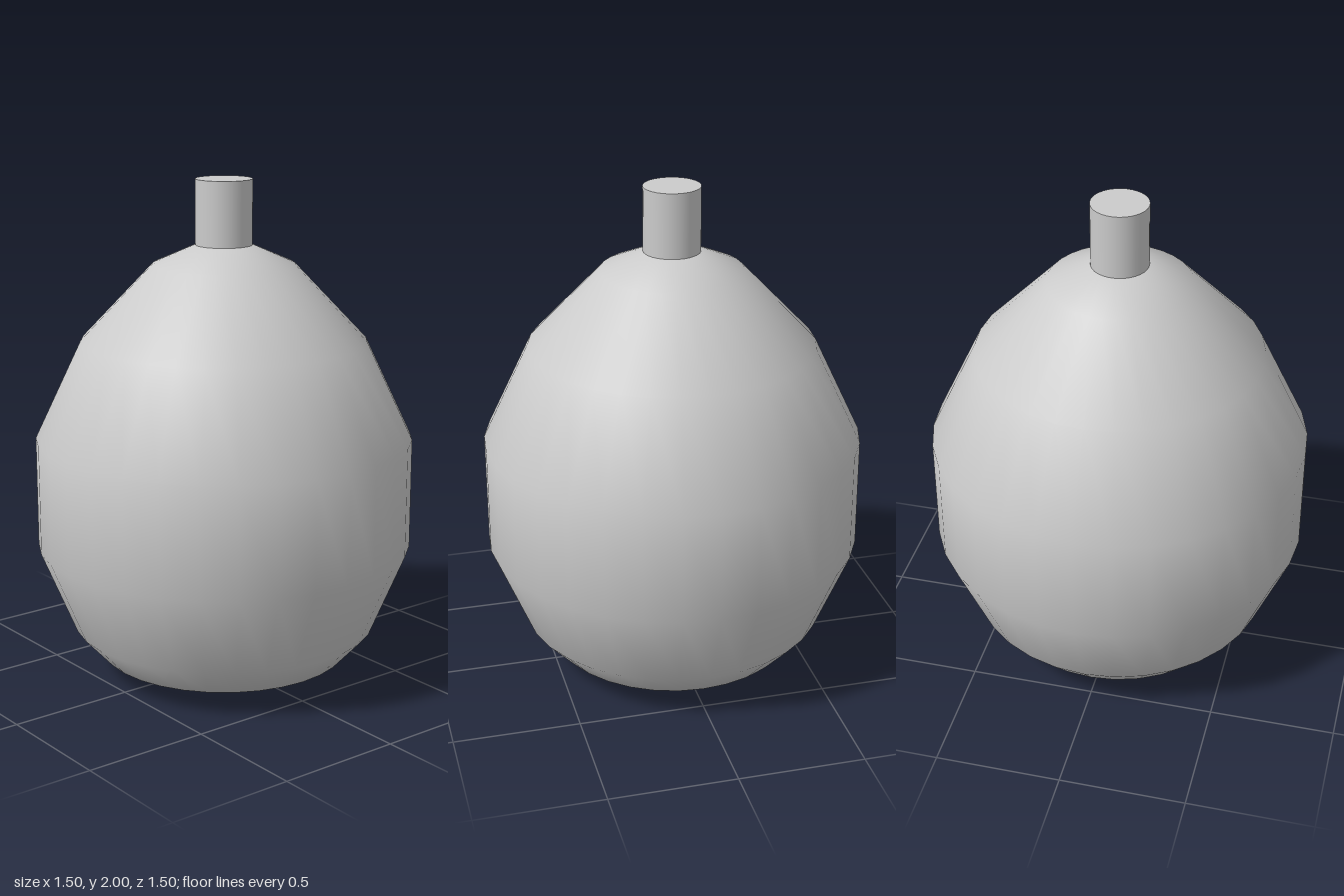
import * as THREE from 'three';

export function createModel() {
  const group = new THREE.Group();
  const material = new THREE.MeshStandardMaterial({ color: 0xcccccc });
  const segments = 32;

  // Rounded body, profile from the base centre up to the shoulder
  const profile = [
    [0, 0], [0.27, 0.005], [0.5, 0.08], [0.61, 0.2], [0.75, 0.54],
    [0.75, 0.98], [0.565, 1.37], [0.28, 1.67], [0.11, 1.745], [0, 1.75],
  ].map(([r, y]) => new THREE.Vector2(r, y));
  const body = new THREE.Mesh(new THREE.LatheGeometry(profile, segments), material);
  body.name = 'body';
  group.add(body);

  // Straight capped neck, sunk slightly into the shoulder
  const neckBottom = 1.73, neckTop = 2;
  const neck = new THREE.Mesh(
    new THREE.CylinderGeometry(0.112, 0.112, neckTop - neckBottom, segments), material);
  neck.name = 'neck';
  neck.position.y = (neckBottom + neckTop) / 2;
  group.add(neck);

  return group;
}
